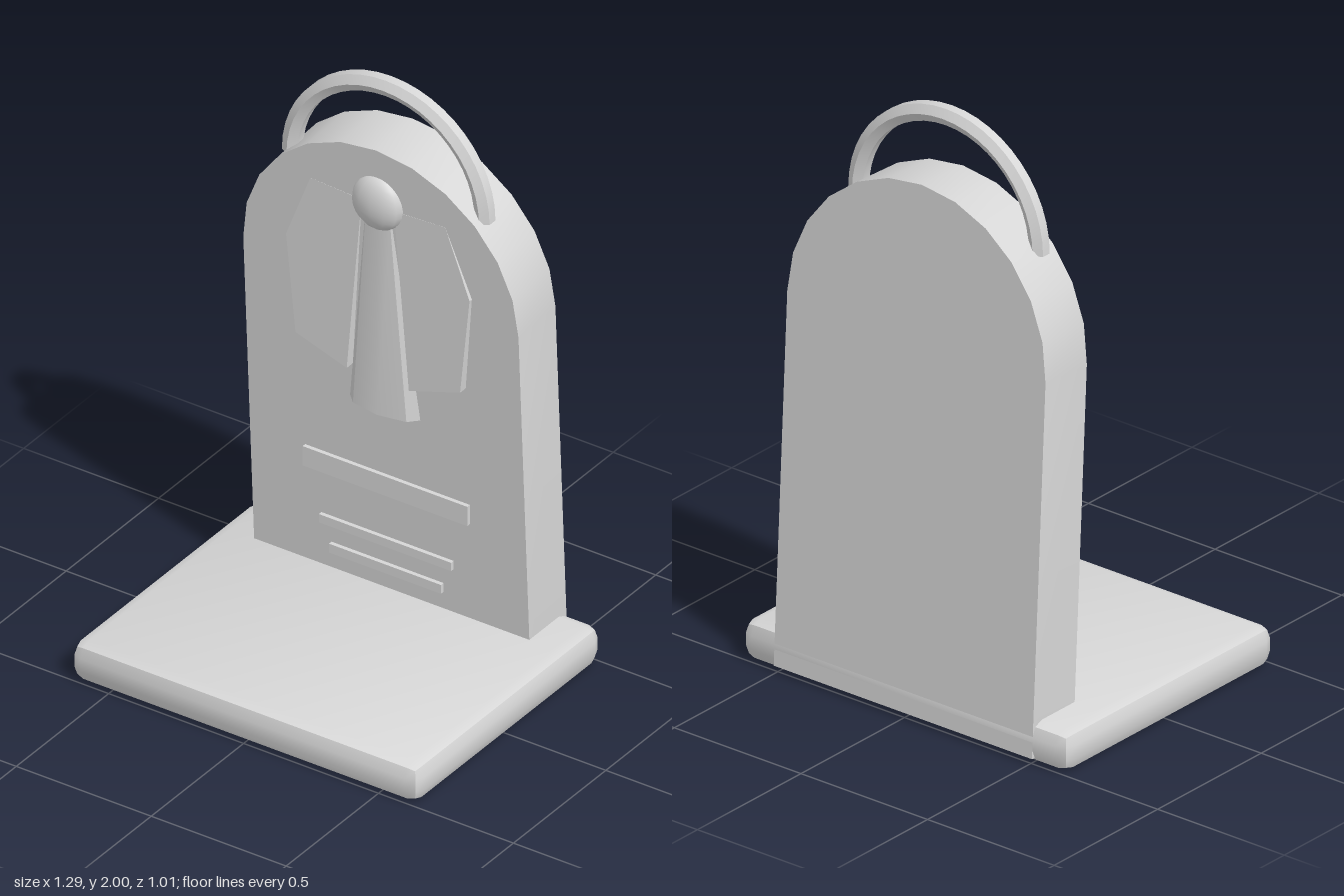
import * as THREE from 'three';
import { toCreasedNormals } from 'three/addons/utils/BufferGeometryUtils.js';
import { RoundedBoxGeometry } from 'three/addons/geometries/RoundedBoxGeometry.js';

export function createModel() {
  const model = new THREE.Group();
  model.name = 'memorialStone';
  const stone = new THREE.MeshStandardMaterial({ color: 0xd6d6d6 });
  stone.name = 'pale grey stone';

  function add(name, geometry, x, y, z) {
    const mesh = new THREE.Mesh(geometry, stone);
    mesh.name = name;
    mesh.position.set(x, y, z);
    model.add(mesh);
    return mesh;
  }

  // Base with two-facet bevelled edges
  const baseGeo = new RoundedBoxGeometry(1.29, 0.137, 1.01, 1, 0.045);
  add('base', toCreasedNormals(baseGeo, 0.6), 0, 0.0685, 0);

  // Round-topped slab, leaning slightly forward
  const arch = new THREE.Shape();
  arch.moveTo(-0.51, 0);
  arch.lineTo(0.51, 0);
  arch.absarc(0, 1.257, 0.51, 0, Math.PI, false);
  arch.closePath();
  const slabGeo = new THREE.ExtrudeGeometry(arch, { depth: 0.2, bevelEnabled: false, curveSegments: 6 });
  slabGeo.translate(0, 0, -0.1);
  const slab = add('slab', toCreasedNormals(slabGeo, 0.6), 0, 0.015, -0.408);
  slab.rotation.x = 0.052;

  // Half-ring halo with a six-sided section
  const R = 0.357;
  const section = [[0.028, -0.016], [0.028, 0.016], [0, 0.0325], [-0.028, 0.016],
    [-0.028, -0.016], [0, -0.0325], [0.028, -0.016]].map(([r, h]) => new THREE.Vector2(R + r, h));
  const haloGeo = new THREE.LatheGeometry(section, 24, Math.PI / 2, Math.PI);
  haloGeo.rotateX(Math.PI / 2);
  add('halo', toCreasedNormals(haloGeo, 0.6), 0, 1.615, -0.285);

  // Figure: flattened head and flared robe
  const head = add('head', new THREE.SphereGeometry(0.095, 12, 12), 0, 1.58, -0.23);
  head.scale.z = 0.5;
  const robeGeo = new THREE.CylinderGeometry(0.065, 0.14, 0.7, 8);
  robeGeo.scale(1, 1, 0.4);
  const robe = add('robe', toCreasedNormals(robeGeo, 0.5), 0, 1.165, -0.26);
  robe.rotation.x = 0.045;

  // Folded wings on both sides of the robe
  for (const s of [1, -1]) {
    const outline = [[0.06, 1.57], [0.25, 1.58], [0.34, 1.345], [0.305, 1.0], [0.115, 0.938], [0.09, 1.23]];
    const shape = new THREE.Shape(outline.map(([x, y]) => new THREE.Vector2(s * x, y)));
    const wing = new THREE.ExtrudeGeometry(shape, { depth: 0.05, bevelEnabled: false });
    add(s > 0 ? 'leftWing' : 'rightWing', wing, 0, 0, -0.276);
  }

  // Raised bars below the figure
  const bars = [[0.61, 0.07, 0.53], [0.49, 0.03, 0.325], [0.415, 0.032, 0.23]];
  bars.forEach(([w, h, y], i) => add('bar' + (i + 1), new THREE.BoxGeometry(w, h, 0.014), 0, y, -0.272));

  return model;
}
